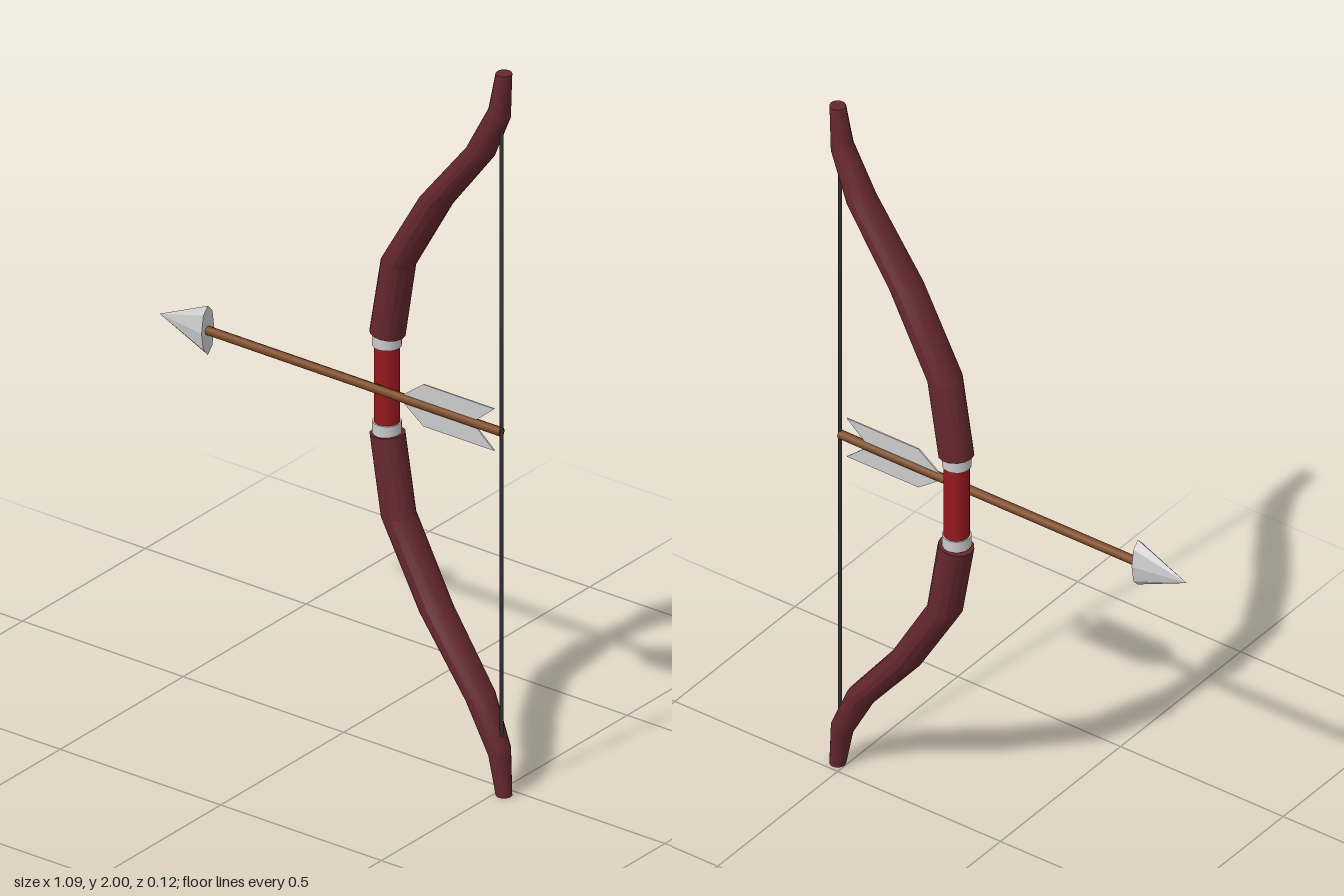
import * as THREE from 'three';
import { toCreasedNormals } from 'three/addons/utils/BufferGeometryUtils.js';

const MID = 1.0;       // height of the grip's middle
const ARROW_Z = 0.03;  // plane of arrow and string

const paint = (color, extra = {}) => new THREE.MeshStandardMaterial({ color, ...extra });

function part(parent, name, geometry, material, x = 0, y = 0, z = 0) {
  const mesh = new THREE.Mesh(geometry, material);
  mesh.name = name;
  mesh.position.set(x, y, z);
  parent.add(mesh);
  return mesh;
}

// Limb: elliptical rings lofted from the grip to the tip; side is +1 (upper) or -1 (lower)
function limbGeometry(side) {
  // height above the middle, centre x, centre z, radius x, radius z, tilt
  const rings = [
    [0.138, 0.121, -0.020, 0.046, 0.044, -0.1],
    [0.350, 0.160, -0.014, 0.044, 0.046, -0.1],
    [0.566, 0.290, 0.002, 0.041, 0.046, -0.15],
    [0.755, 0.442, 0.021, 0.034, 0.042, -0.3],
    [0.885, 0.507, 0.028, 0.027, 0.031, -0.45],
    [1.000, 0.522, 0.030, 0.021, 0.021, 0],
  ];
  const n = 14, pos = [], index = [];
  const tri = (a, b, c) => (side > 0 ? index.push(a, b, c) : index.push(a, c, b));
  for (const [h, cx, cz, rx, rz, tilt] of rings)
    for (let i = 0; i < n; i++) {
      const a = (i / n) * Math.PI * 2, dx = Math.cos(a) * rx;
      pos.push(cx + dx, MID + side * (h + dx * tilt), cz + Math.sin(a) * rz);
    }
  for (let r = 0; r < rings.length - 1; r++)
    for (let i = 0; i < n; i++) {
      const a = r * n + i, b = r * n + (i + 1) % n;
      tri(a, a + n, b);
      tri(b, a + n, b + n);
    }
  // End caps
  const last = (rings.length - 1) * n;
  for (let i = 1; i < n - 1; i++) {
    tri(0, i, i + 1);
    tri(last, last + i + 1, last + i);
  }
  const g = new THREE.BufferGeometry();
  g.setAttribute('position', new THREE.Float32BufferAttribute(pos, 3));
  g.setIndex(index);
  return toCreasedNormals(g, 0.47);
}

export function createModel() {
  const model = new THREE.Group();
  model.name = 'bowAndArrow';
  const wood = paint(0x64272d), red = paint(0x96191f), brown = paint(0x7a4720);
  const grey = paint(0xcccccc);
  const steel = paint(0xcccccc, { flatShading: true });
  const feather = paint(0xcccccc, { side: THREE.DoubleSide });

  // Bow
  const bow = new THREE.Group();
  bow.name = 'bow';
  model.add(bow);
  part(bow, 'grip', new THREE.CylinderGeometry(0.033, 0.033, 0.26, 16), red, 0.121, MID, -0.018);
  for (const side of [1, -1]) {
    const label = side > 0 ? 'upper' : 'lower';
    part(bow, label + 'Limb', limbGeometry(side), wood);
    part(bow, label + 'GripRing', new THREE.CylinderGeometry(0.037, 0.037, 0.032, 16),
      grey, 0.121, MID + side * 0.121, -0.018);
  }
  part(bow, 'string', new THREE.CylinderGeometry(0.005, 0.005, 1.78, 6), paint(0x333333), 0.515, MID, ARROW_Z);

  // Arrow, pointing to -x
  const arrow = new THREE.Group();
  arrow.name = 'arrow';
  arrow.position.set(0, MID + 0.003, ARROW_Z);
  model.add(arrow);
  part(arrow, 'shaft', new THREE.CylinderGeometry(0.012, 0.012, 0.935, 8).rotateZ(Math.PI / 2), brown, 0.0475);

  // Flattened faceted head
  const head = new THREE.ConeGeometry(0.068, 0.15, 8).rotateZ(Math.PI / 2).scale(1, 1, 0.38);
  part(arrow, 'arrowhead', head, steel, -0.475);

  // Swept vanes above and below the shaft
  for (const side of [1, -1]) {
    const vane = new THREE.Shape([[0.195, 0], [0.272, 0.058], [0.493, 0.058], [0.425, 0]]
      .map(([x, y]) => new THREE.Vector2(x, y * side)));
    part(arrow, side > 0 ? 'upperFletching' : 'lowerFletching',
      new THREE.ExtrudeGeometry(vane, { depth: 0.004, bevelEnabled: false }), feather, 0, 0, -0.002);
  }
  return model;
}
